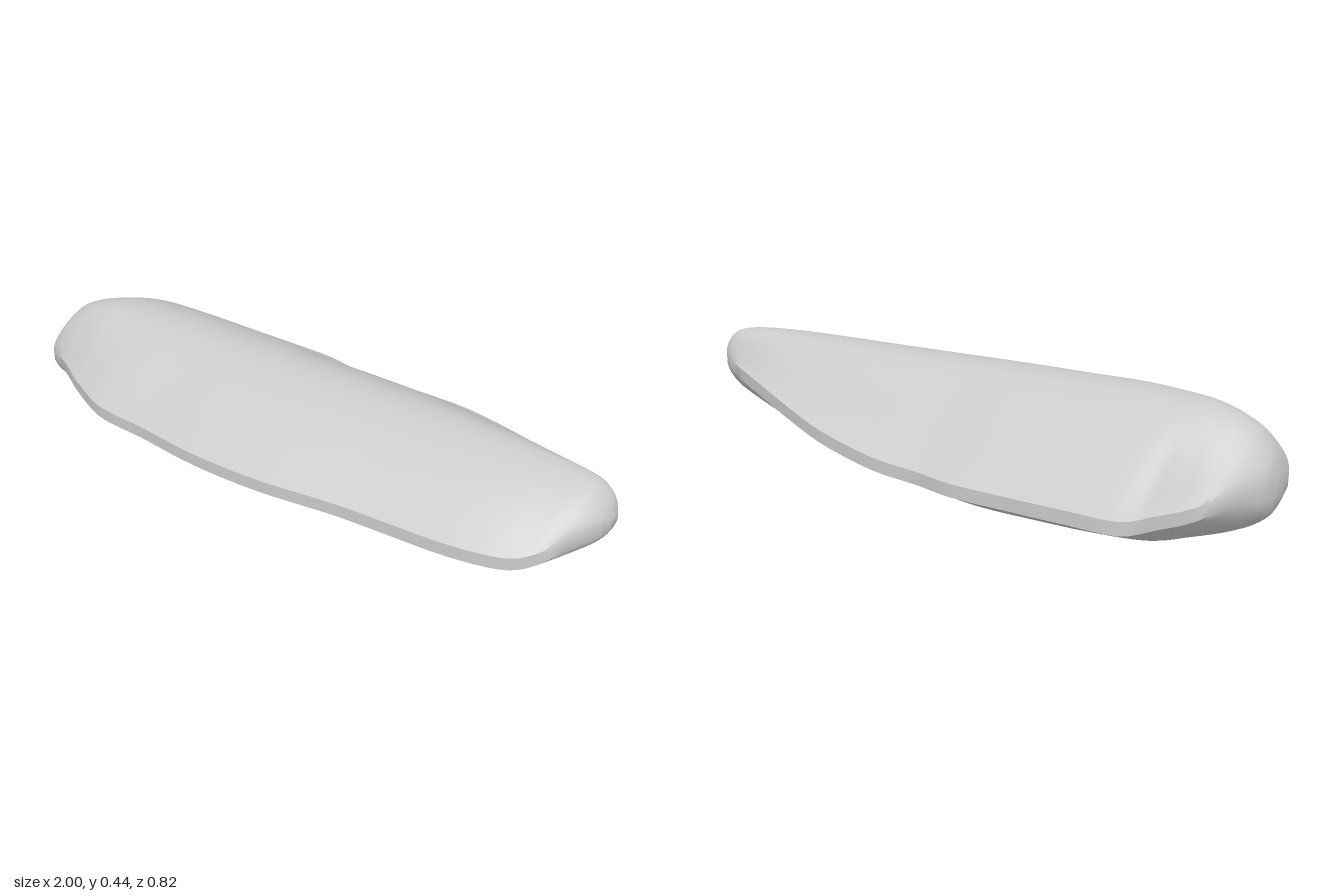
import * as THREE from 'three';
import { toCreasedNormals } from 'three/addons/utils/BufferGeometryUtils.js';

// Stations along the length: x, crest y, belly y, back rim z, front rim z
const STATIONS = [
  [-1, 0.25, 0.18, 0.0, 0.09], [-0.98, 0.31, 0.13, -0.06, 0.14],
  [-0.93, 0.37, 0.09, -0.12, 0.175], [-0.86, 0.408, 0.06, -0.21, 0.215],
  [-0.79, 0.427, 0.042, -0.31, 0.255], [-0.72, 0.434, 0.028, -0.405, 0.295],
  [-0.56, 0.44, 0.008, -0.41, 0.365], [-0.38, 0.438, 0.003, -0.41, 0.38],
  [-0.2, 0.436, 0.002, -0.405, 0.4], [-0.06, 0.434, 0.012, -0.375, 0.405],
  [0.1, 0.432, 0.03, -0.367, 0.398], [0.32, 0.431, 0.048, -0.325, 0.37],
  [0.5, 0.43, 0.085, -0.26, 0.36], [0.66, 0.428, 0.125, -0.19, 0.35],
  [0.8, 0.424, 0.163, -0.12, 0.32], [0.88, 0.418, 0.188, -0.075, 0.265],
  [0.94, 0.405, 0.215, -0.04, 0.18], [0.98, 0.37, 0.25, -0.01, 0.115],
  [1, 0.325, 0.29, 0.02, 0.065],
];
const RIM = 0.02;  // half height of the blunt rim
const N = 12;      // steps across each of the four quarters
const RINGS = 72;

// One lens-shaped cross-section, running front rim, crest, back rim, belly
function section(x, top, bottom, back, front) {
  const mid = (top + bottom) / 2;
  const crest = THREE.MathUtils.clamp(0.02, back + 0.03, front - 0.03);
  const rim = Math.min(RIM, (top - bottom) / 4);
  const blend = THREE.MathUtils.smoothstep(Math.abs(x), 0.82, 1);
  const frontY = THREE.MathUtils.lerp(0.26, mid, blend);
  const backY = THREE.MathUtils.lerp(0.18 + 0.11 * THREE.MathUtils.smoothstep(x, -0.1, 0.9), mid, blend);
  const pts = [];
  const quarter = (zRim, yRim, yPeak, power, outward) => {
    const p = THREE.MathUtils.lerp(power, 0.6, blend);
    for (let k = 0; k <= N; k++) {
      if (outward && k === 0) continue; // crest point is shared
      const t = outward ? k / N : 1 - k / N;
      const h = Math.pow(Math.max(0, Math.cos(t * Math.PI / 2)), p);
      pts.push([x, yRim + (yPeak - yRim) * h, crest + (zRim - crest) * t]);
    }
  };
  quarter(front, frontY + rim, top, 1.12, false);
  quarter(back, backY + rim, top, 1.3, true);
  quarter(back, backY - rim, bottom, 1.1, false);
  quarter(front, frontY - rim, bottom, 1.05, true);
  return pts;
}

function stoneGeometry() {
  // Both curves share x, so the same parameter gives the same station
  const curve = (a, b) => new THREE.CatmullRomCurve3(
    STATIONS.map((s) => new THREE.Vector3(s[0], s[a], s[b])), false, 'catmullrom', 0.45);
  const heights = curve(1, 2), widths = curve(3, 4);
  const positions = [], index = [];
  let m = 0;
  for (let i = 0; i <= RINGS; i++) {
    const h = heights.getPoint(i / RINGS), w = widths.getPoint(i / RINGS);
    const ring = section(h.x, h.y, h.z, w.y, w.z);
    m = ring.length;
    ring.forEach((p) => positions.push(...p));
  }
  for (let i = 0; i < RINGS; i++) {
    for (let j = 0; j < m; j++) {
      const a = i * m + j, b = i * m + (j + 1) % m;
      index.push(a, a + m, b + m, a, b + m, b);
    }
  }
  // Small blunt caps on both ends
  const last = RINGS * m;
  for (let j = 1; j < m - 1; j++) {
    index.push(0, j, j + 1, last, last + j + 1, last + j);
  }
  const geometry = new THREE.BufferGeometry();
  geometry.setAttribute('position', new THREE.Float32BufferAttribute(positions, 3));
  geometry.setIndex(index);
  return toCreasedNormals(geometry, 0.6);
}

export function createModel() {
  const group = new THREE.Group();
  group.name = 'flatStone';
  const stone = new THREE.Mesh(stoneGeometry(), new THREE.MeshStandardMaterial({ color: 0xcccccc }));
  stone.name = 'stone';
  group.add(stone);
  return group;
}
